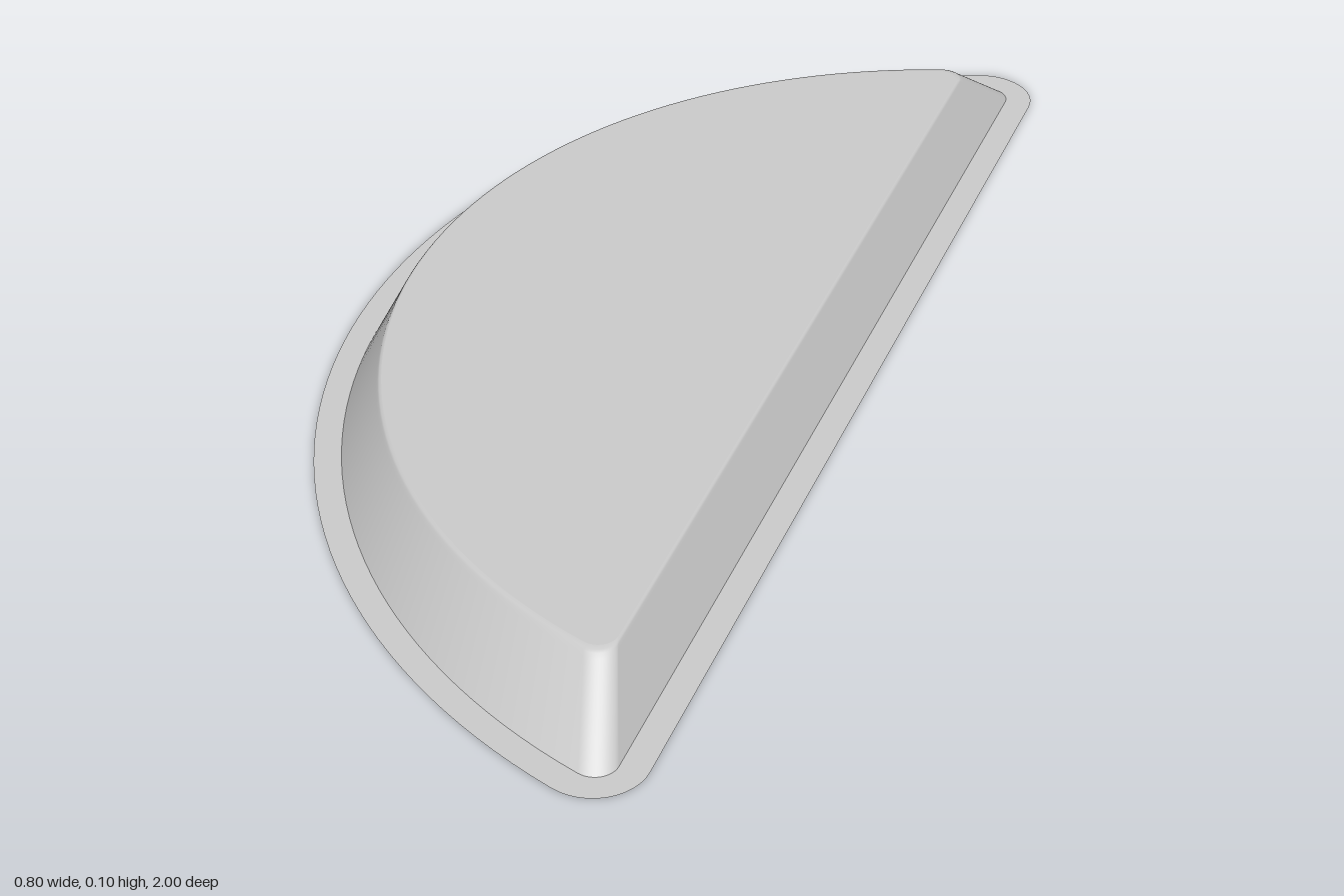
import * as THREE from 'three';

const HEIGHT = 0.1;
const TOP_SCALE = 0.86;
const material = new THREE.MeshStandardMaterial({ color: 0xcccccc, side: THREE.DoubleSide });

// Half-moon outline: straight right side, one big arc, two rounded tips
function halfMoon(left, right, halfLength, r) {
  const a = right - r, c = halfLength - r, d = a - left;
  const R = (d * d + c * c - r * r) / (2 * (d - r)); // arc tangent to both tips
  const m = left + R;
  const theta = Math.atan2(c, a - m);
  const points = [];
  const arc = (cx, cy, radius, from, to, n, first) => {
    for (let i = first; i <= n; i++) {
      const t = from + (to - from) * i / n;
      points.push(new THREE.Vector2(cx + radius * Math.cos(t), cy + radius * Math.sin(t)));
    }
  };
  arc(a, c, r, 0, theta, 12, 0);
  arc(m, 0, R, theta, 2 * Math.PI - theta, 72, 1);
  arc(a, -c, r, 2 * Math.PI - theta, 2 * Math.PI, 12, 1);
  return points;
}

// Sloped wall lofted through scaled copies of the outline
function loft(points, rings) {
  const n = points.length, positions = [], indices = [];
  for (const [scale, y] of rings) {
    for (const p of points) positions.push(p.x * scale, y, -p.y * scale);
  }
  for (let k = 0; k < rings.length - 1; k++) {
    for (let i = 0; i < n; i++) {
      const a = k * n + i, b = k * n + (i + 1) % n;
      indices.push(a, b, b + n, a, b + n, a + n);
    }
  }
  const geometry = new THREE.BufferGeometry();
  geometry.setAttribute('position', new THREE.Float32BufferAttribute(positions, 3));
  geometry.setIndex(indices);
  geometry.computeVertexNormals();
  return geometry;
}

function flatSheet(points, y, hole) {
  const shape = new THREE.Shape(points);
  if (hole) shape.holes.push(new THREE.Path(hole));
  return new THREE.ShapeGeometry(shape).rotateX(-Math.PI / 2).translate(0, y, 0);
}

export function createModel() {
  const group = new THREE.Group();
  group.name = 'halfMoonTray';
  const add = (name, geometry) => {
    const mesh = new THREE.Mesh(geometry, material);
    mesh.name = name;
    group.add(mesh);
  };

  const outer = halfMoon(-0.4, 0.4, 1, 0.08);
  const inner = halfMoon(-0.36, 0.358, 0.957, 0.034);

  // Flat rim on the ground, open in the middle
  add('rim', flatSheet(outer, 0, inner));

  // Sloped wall with a slightly softened upper edge
  const capScale = TOP_SCALE - 0.008;
  add('wall', loft(inner, [
    [1, 0], [0.871, 0.092], [0.865, 0.0965], [0.86, 0.099], [capScale, HEIGHT],
  ]));

  // Flat raised panel
  add('topPanel', flatSheet(inner.map((p) => p.clone().multiplyScalar(capScale)), HEIGHT));

  return group;
}
